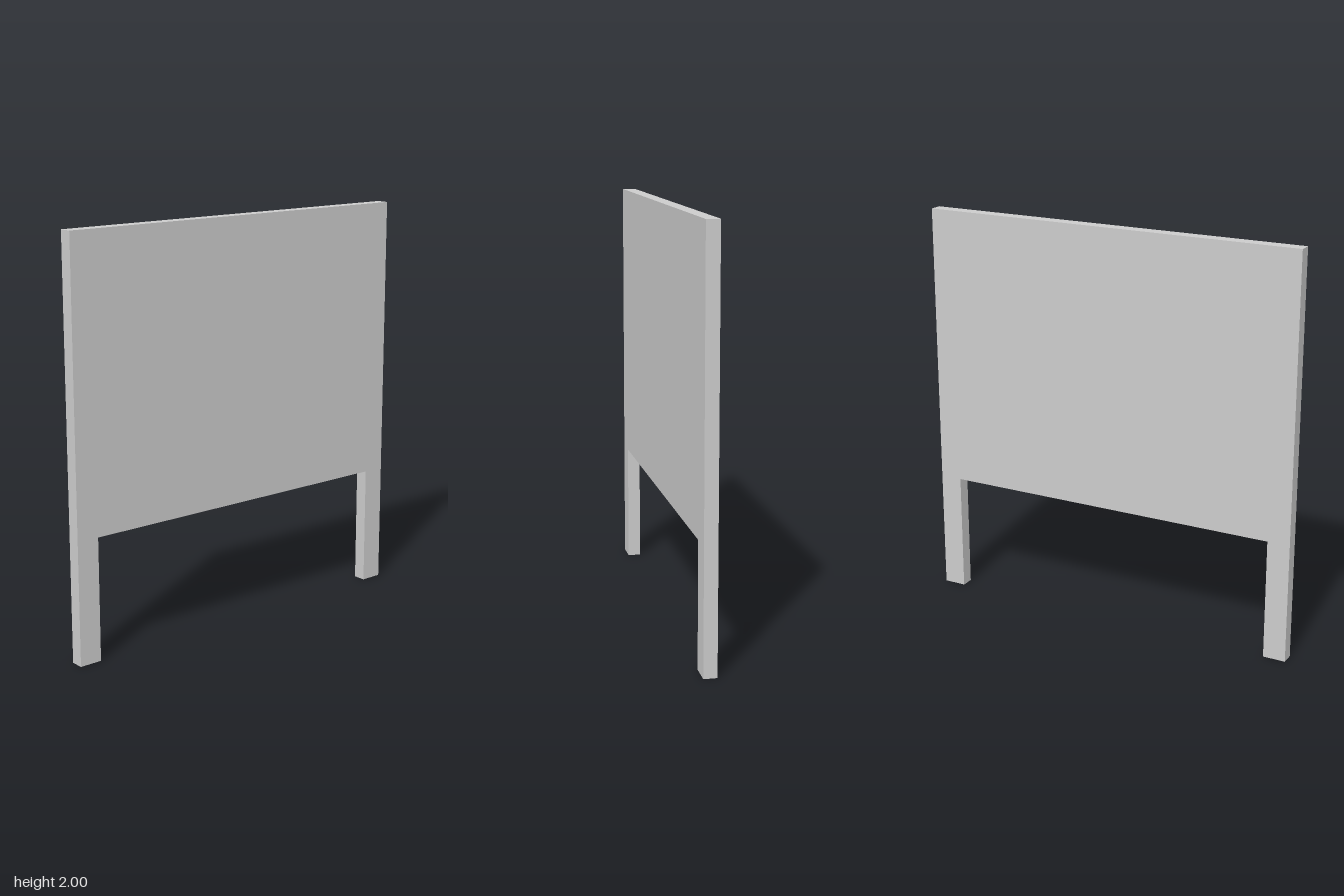
import * as THREE from 'three';

const HALF_WIDTH = 0.966;
const HEIGHT = 2;
const THICKNESS = 0.064;
const LEG_WIDTH = 0.112;
const LEG_HEIGHT = 0.6;

export function createModel() {
  const group = new THREE.Group();
  group.name = 'headboard';
  const material = new THREE.MeshStandardMaterial({ color: 0xcccccc, side: THREE.DoubleSide });

  // Broad flat panel
  const panelHeight = HEIGHT - LEG_HEIGHT;
  const panel = new THREE.Mesh(new THREE.BoxGeometry(2 * HALF_WIDTH, panelHeight, THICKNESS), material);
  panel.name = 'panel';
  panel.position.y = LEG_HEIGHT + panelHeight / 2;
  group.add(panel);

  // Hollow legs, open at the foot: keep only the four side walls of a box
  const legGeometry = new THREE.BoxGeometry(LEG_WIDTH, LEG_HEIGHT, THICKNESS);
  const faces = Array.from(legGeometry.index.array);
  legGeometry.setIndex([...faces.slice(0, 12), ...faces.slice(24)]);
  legGeometry.clearGroups();

  for (const side of [1, -1]) {
    const leg = new THREE.Mesh(legGeometry, material);
    leg.name = side > 0 ? 'leftLeg' : 'rightLeg';
    leg.position.set(side * (HALF_WIDTH - LEG_WIDTH / 2), LEG_HEIGHT / 2, 0);
    group.add(leg);
  }
  return group;
}
